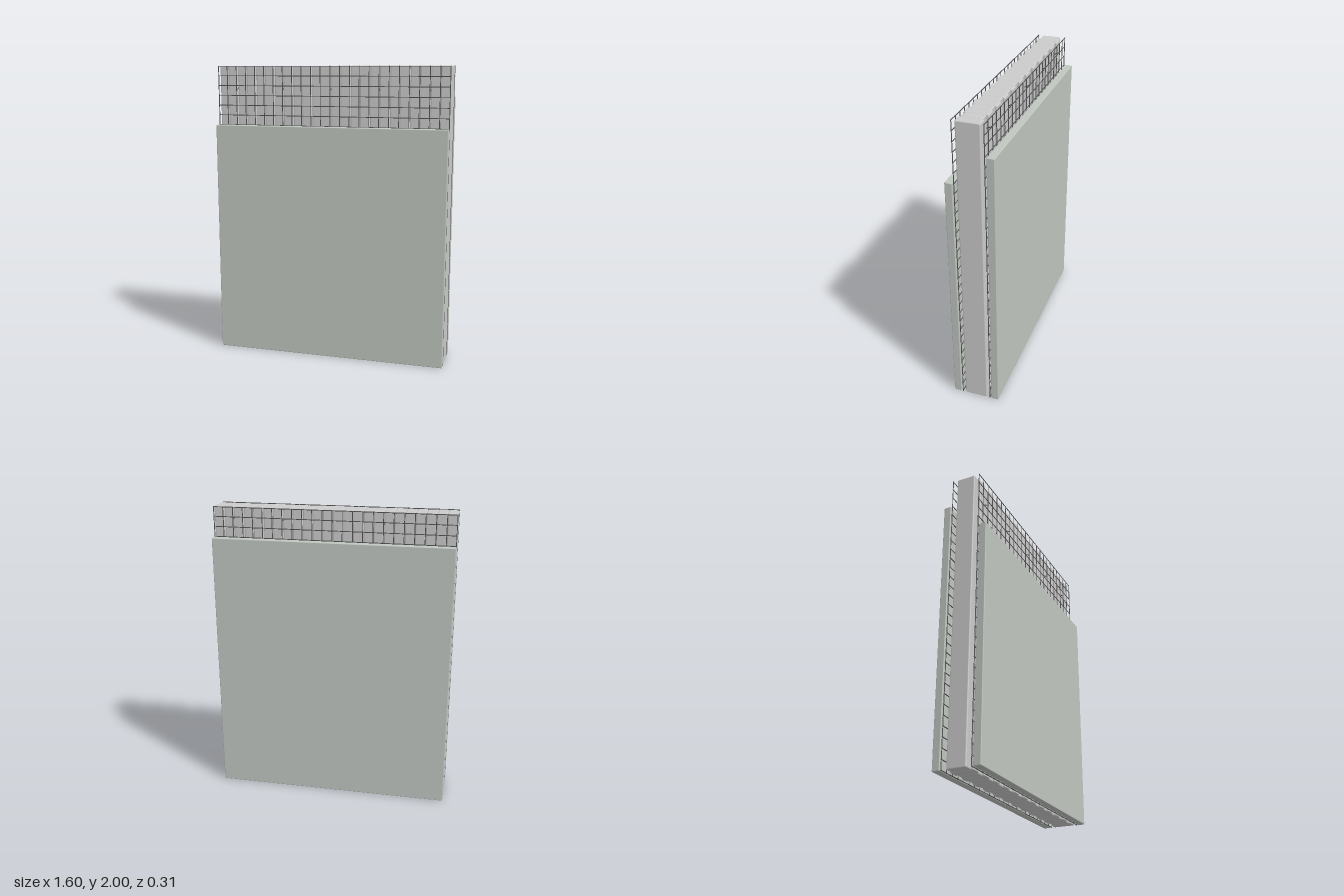
import * as THREE from 'three';
import { RoundedBoxGeometry } from 'three/addons/geometries/RoundedBoxGeometry.js';

const WIDTH = 1.6, HEIGHT = 2, CELL = WIDTH / 24, MESH_Z = 0.097, WIRE = 0.003;

const coreMat = new THREE.MeshStandardMaterial({ color: 0xcccccc });
const panelMat = new THREE.MeshStandardMaterial({ color: 0xc0c6c0 });
const wireMat = new THREE.MeshStandardMaterial({ color: 0x555555 });

function block(name, w, h, d, x, z, bevel, material) {
  const mesh = new THREE.Mesh(new RoundedBoxGeometry(w, h, d, 2, bevel), material);
  mesh.name = name;
  mesh.position.set(x, h / 2, z);
  return mesh;
}

// Straight round wire between two points
function wire(name, a, b) {
  const dir = new THREE.Vector3().subVectors(b, a);
  const mesh = new THREE.Mesh(new THREE.CylinderGeometry(WIRE, WIRE, dir.length(), 6), wireMat);
  mesh.name = name;
  mesh.position.addVectors(a, b).multiplyScalar(0.5);
  mesh.quaternion.setFromUnitVectors(new THREE.Vector3(0, 1, 0), dir.normalize());
  return mesh;
}

// Square grid of wires in one plane
function wireMesh(name, z) {
  const group = new THREE.Group();
  group.name = name;
  const hx = WIDTH / 2, v = (x, y) => new THREE.Vector3(x, y, z);
  for (let i = 0; i <= 24; i++) {
    const x = THREE.MathUtils.clamp(-hx + i * CELL, -hx + WIRE, hx - WIRE);
    group.add(wire('verticalWire', v(x, 0), v(x, HEIGHT)));
  }
  for (let j = 0; j <= 30; j++) {
    const y = THREE.MathUtils.clamp(j * CELL, WIRE, HEIGHT - WIRE);
    group.add(wire('horizontalWire', v(-hx, y), v(hx, y)));
  }
  return group;
}

export function createModel() {
  const model = new THREE.Group();
  model.name = 'sandwichWallPanel';

  // Corrugated core: strips of alternating depth
  const core = new THREE.Group();
  core.name = 'insulationCore';
  for (let i = 0; i < 24; i++) {
    const depth = i % 2 ? 0.154 : 0.128;
    core.add(block('coreStrip', CELL, HEIGHT, depth, -WIDTH / 2 + (i + 0.5) * CELL, 0, 0.008, coreMat));
  }
  model.add(core);

  // Wire meshes on both sides
  model.add(wireMesh('frontWireMesh', MESH_Z), wireMesh('backWireMesh', -MESH_Z));

  // Slanted tie wires through the core
  const ties = new THREE.Group();
  ties.name = 'tieWires';
  for (let c = -2; c <= 2; c++) {
    for (let r = 0; r < 6; r++) {
      const x = c / 3, y = 1 / 6 + r / 3;
      ties.add(wire('tieWire', new THREE.Vector3(x, y, MESH_Z), new THREE.Vector3(x, y + 0.1, -MESH_Z)));
    }
  }
  model.add(ties);

  // Outer concrete layers, the back one taller
  model.add(block('frontLayer', WIDTH, 1.6, 0.05, 0, 0.132, 0.005, panelMat));
  model.add(block('backLayer', WIDTH, 1.8, 0.05, 0, -0.132, 0.005, panelMat));
  return model;
}
